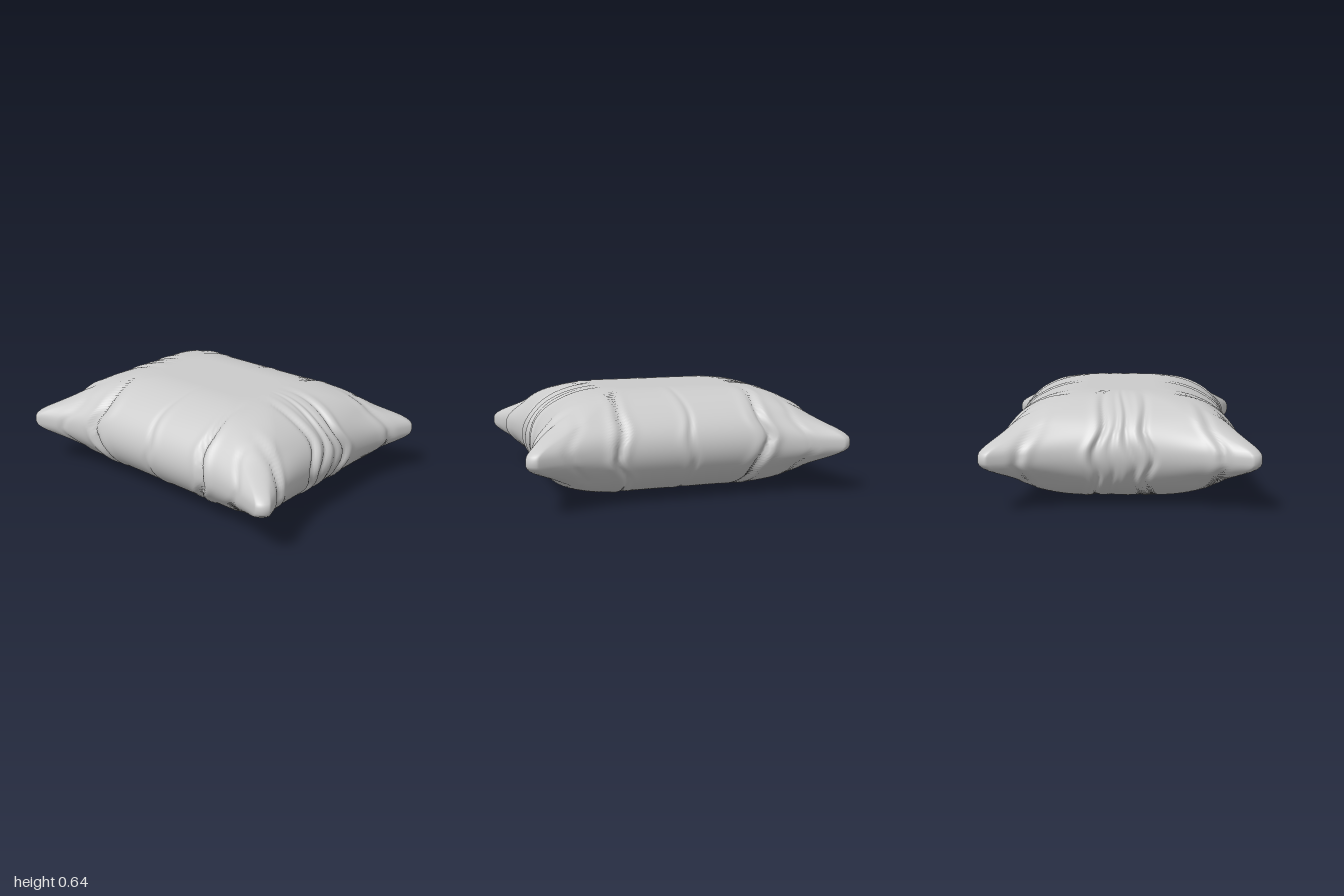
import * as THREE from 'three';

const H = 0.32;            // half height of the cushion
const RINGS = 56, SIDE = 96, ARC = 14;

const clamp01 = t => Math.min(1, Math.max(0, t));
const smooth = (a, b, v) => { const t = clamp01((v - a) / (b - a)); return t * t * (3 - 2 * t); };

// Folds: [position along the seam, depth (negative = raised), width, lean]
const longFolds = [
  [0.4, 0.026, 0.018, 0.08], [0.44, -0.012, 0.03, 0.08], [0.36, -0.006, 0.025, 0.05],
  [-0.42, 0.03, 0.018, -0.15], [-0.46, -0.012, 0.03, -0.15], [-0.36, -0.006, 0.03, -0.1],
  [0.0, 0.01, 0.018, 0.03], [0.04, -0.005, 0.03, 0.03],
  [0.66, 0.01, 0.02, 0.12], [-0.66, 0.01, 0.02, 0.1],
];
const shortFolds = [
  [-0.15, 0.02, 0.018, 0.06], [-0.11, -0.01, 0.02, 0.1], [-0.06, 0.014, 0.016, 0.18],
  [-0.01, -0.008, 0.02, 0.08], [0.04, 0.01, 0.016, -0.05],
  [0.12, 0.022, 0.016, -0.08], [0.16, -0.01, 0.025, -0.08],
  [-0.52, 0.018, 0.025, 0.14], [-0.47, -0.008, 0.025, 0.14],
  [0.51, 0.016, 0.025, -0.12], [0.46, -0.006, 0.025, -0.12],
];

function foldDepth(folds, s, y) {
  let d = 0;
  for (const [pos, depth, width, lean] of folds) {
    const t = (s - pos - lean * y - 0.012 * Math.sin(y * 22 + pos * 9)) / width;
    d += depth * Math.exp(-t * t);
  }
  return d;
}

// Rounded rectangle, running from +x towards +z
function outline(a, b, r) {
  const pts = [];
  const corners = [[1, -1], [1, 1], [-1, 1], [-1, -1]].map(([x, z]) => [x * (a - r), z * (b - r)]);
  for (let k = 0; k < 4; k++) {
    const p = corners[k], q = corners[(k + 1) % 4];
    const ang = k * Math.PI / 2, nx = Math.cos(ang) * r, nz = Math.sin(ang) * r;
    for (let i = 0; i < SIDE; i++) {
      const t = i / SIDE;
      pts.push([p[0] + (q[0] - p[0]) * t + nx, p[1] + (q[1] - p[1]) * t + nz]);
    }
    for (let i = 0; i < ARC; i++) {
      const w = ang + (i / ARC) * Math.PI / 2;
      pts.push([q[0] + Math.cos(w) * r, q[1] + Math.sin(w) * r]);
    }
  }
  return pts;
}

// One horizontal slice of the cushion; phi runs from -90 to 90 degrees
function slice(phi, scale) {
  const c = Math.cos(phi), y = H * Math.sin(phi), h = Math.abs(y);
  const a = 0.2 + 0.49 * c, b = 0.4 + 0.48 * c;
  const r = 0.06 + 0.12 * smooth(0.03, 0.25, h);
  const pull = 1 - smooth(0.02, 0.17, h);     // corners are drawn out near the seam
  return outline(a, b, r).map(([x, z]) => {
    const u = Math.abs(x) / a, v = Math.abs(z) / b;
    const ex = 0.103 * pull * clamp01((v - 0.4) / 0.54) ** 1.8;
    const ez = 0.122 * pull * clamp01((u - 0.2) / 0.73) ** 2;
    const dx = foldDepth(longFolds, z, y) * smooth(0.85, 1, u) * c;
    const dz = foldDepth(shortFolds, x, y) * smooth(0.88, 1, v) * c;
    return [
      (x + Math.sign(x) * (ex * u - dx * c)) * scale,
      H + y - (dx + dz) * Math.sin(phi),
      (z + Math.sign(z) * (ez * v - dz * c)) * scale,
    ];
  });
}

function cushionGeometry() {
  const slices = [slice(-Math.PI / 2, 0)];
  for (let j = 0; j <= RINGS; j++) slices.push(slice((j / RINGS - 0.5) * Math.PI, 1));
  slices.push(slice(Math.PI / 2, 0));

  const n = slices[0].length, index = [];
  for (let j = 0; j < slices.length - 1; j++) {
    for (let i = 0; i < n; i++) {
      const k = (i + 1) % n;
      const p = j * n + i, q = j * n + k, s = p + n, t = q + n;
      if (j > 0) index.push(p, s, q);
      if (j < slices.length - 2) index.push(q, s, t);
    }
  }
  // End fans keep only the triangle that is not collapsed at the centre
  const geo = new THREE.BufferGeometry();
  geo.setAttribute('position', new THREE.Float32BufferAttribute(slices.flat(2), 3));
  geo.setIndex(index);
  geo.computeVertexNormals();
  return geo;
}

export function createModel() {
  const model = new THREE.Group();
  model.name = 'pillow';
  const cushion = new THREE.Mesh(
    cushionGeometry(),
    new THREE.MeshStandardMaterial({ color: 0xcccccc, roughness: 0.9 }),
  );
  cushion.name = 'cushion';
  model.add(cushion);
  return model;
}
